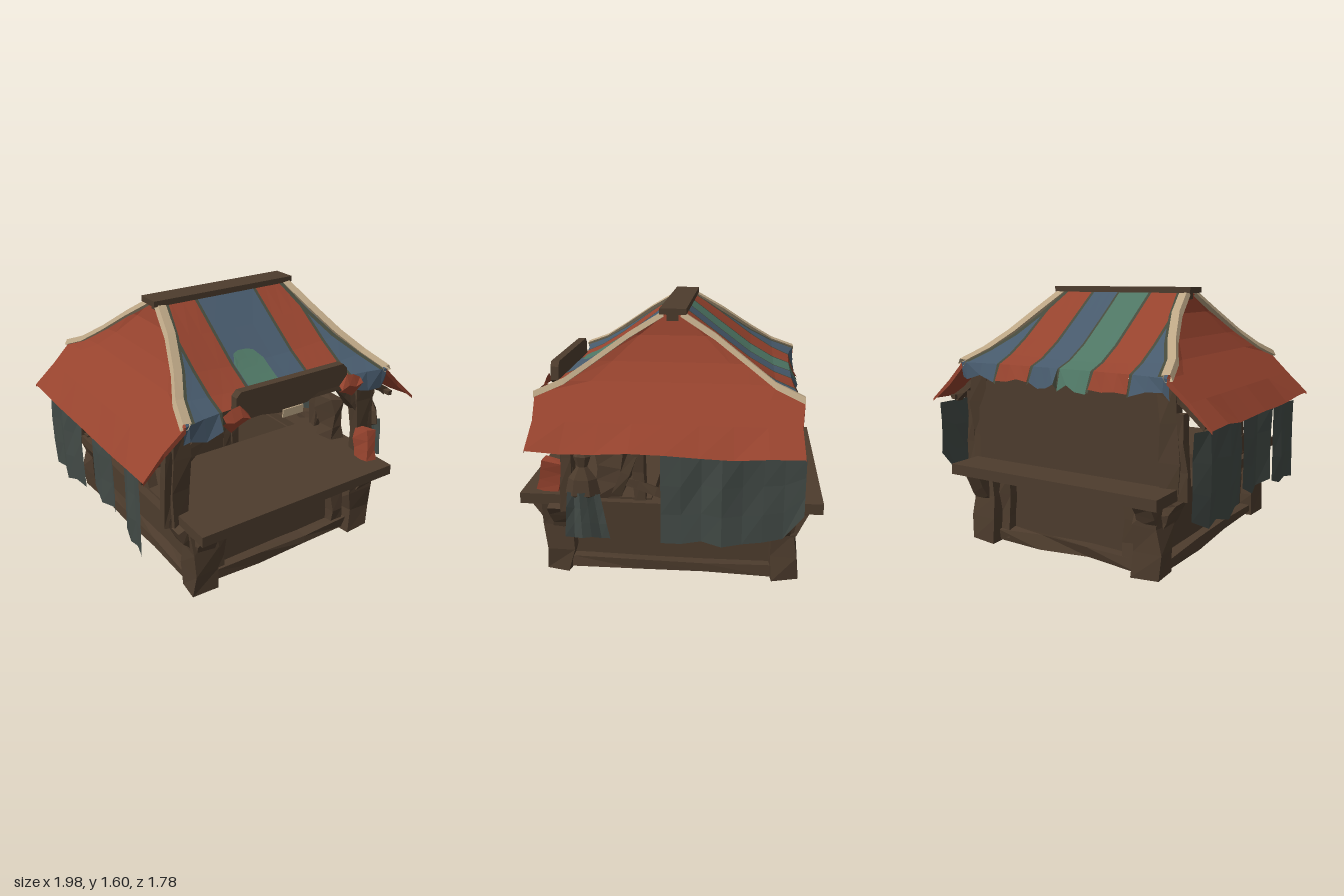
import * as THREE from 'three';

const mat = (name, color, double) => {
  const m = new THREE.MeshStandardMaterial({ color });
  m.name = name;
  if (double) m.side = THREE.DoubleSide;
  return m;
};

export function createModel() {
  const root = new THREE.Group();
  root.name = 'marketStall';
  const wood = mat('dark wood', 0x4d3c2d);
  const red = mat('red cloth', 0x96432e, true);
  const blue = mat('blue cloth', 0x475a6c, true);
  const green = mat('green cloth', 0x4e7664, true);
  const olive = mat('stripe edge', 0x464a3c, true);
  const cream = mat('cream trim', 0xbca685, true);
  const grey = mat('grey green curtain', 0x424a46, true);

  // repeatable noise in -0.5..0.5
  const noise = (a, b = 0, c = 0) => {
    const s = Math.sin(a * 127.1 + b * 311.7 + c * 74.7) * 43758.5453;
    return s - Math.floor(s) - 0.5;
  };

  // flat-shaded mesh
  const add = (name, g, m) => {
    const flat = g.index ? g.toNonIndexed() : g;
    flat.computeVertexNormals();
    const mesh = new THREE.Mesh(flat, m);
    mesh.name = name;
    root.add(mesh);
  };

  // roughly hewn timber from a to b
  const beam = (name, m, a, b, w, d, rough = 0.02) => {
    const A = new THREE.Vector3(...a), B = new THREE.Vector3(...b);
    const dir = B.clone().sub(A), len = dir.length();
    const g = new THREE.BoxGeometry(w, len, d, 1, 3, 1), p = g.attributes.position;
    const r = v => Math.round(v * 1000) / 1000;
    for (let i = 0; i < p.count; i++) {
      const x = r(p.getX(i)), y = r(p.getY(i)), z = r(p.getZ(i)), s = a[0] + 2 * a[1] + 3 * a[2];
      p.setXYZ(i, x + rough * noise(x + s, y, z), y + rough * 0.5 * noise(y, z, x + s), z + rough * noise(z, x, y + s));
    }
    g.applyQuaternion(new THREE.Quaternion().setFromUnitVectors(new THREE.Vector3(0, 1, 0), dir.normalize()));
    const c = A.add(B).multiplyScalar(0.5);
    g.translate(c.x, c.y, c.z);
    add(name, g, m);
  };
  const box = (name, size, pos, m = wood) => {
    const g = new THREE.BoxGeometry(...size);
    g.translate(...pos);
    add(name, g, m);
  };

  // grid surface from fn(column, row) -> [x, y, z]
  const sheet = (name, m, cols, rows, fn) => {
    const pos = [], idx = [];
    for (let j = 0; j <= rows; j++) for (let i = 0; i <= cols; i++) pos.push(...fn(i, j));
    for (let j = 0; j < rows; j++) for (let i = 0; i < cols; i++) {
      const a = j * (cols + 1) + i, b = a + cols + 1;
      idx.push(a, b, a + 1, a + 1, b, b + 1);
    }
    const g = new THREE.BufferGeometry();
    g.setAttribute('position', new THREE.Float32BufferAttribute(pos, 3));
    g.setIndex(idx);
    add(name, g, m);
  };

  // ---- base: corner posts, panels, rails ----
  for (const sx of [-1, 1]) for (const sz of [-1, 1]) {
    beam('basePost', wood, [sx * 0.6, 0.015, sz * 0.68], [sx * 0.6, 0.47, sz * 0.67], 0.17, 0.16, 0.04);
    beam('basePostInner', wood, [sx * 0.46, 0.04, sz * 0.65], [sx * 0.45, 0.46, sz * 0.65], 0.08, 0.09, 0.03);
    beam('bracketFront', wood, [sx * 0.6, 0.27, sz * 0.68], [sx * 0.61, 0.47, sz * 0.79], 0.12, 0.08);
    beam('bracketSide', wood, [sx * 0.63, 0.3, sz * 0.64], [sx * 0.72, 0.47, sz * 0.64], 0.07, 0.14);
  }
  for (const s of [-1, 1]) {
    box('basePanel', [1.1, 0.4, 0.03], [0, 0.26, s * 0.62]);
    box('baseSidePanel', [0.03, 0.42, 1.2], [s * 0.58, 0.26, 0]);
    beam('bottomRail', wood, [-0.52, 0.065, s * 0.67], [0.52, 0.065, s * 0.67], 0.07, 0.07, 0.025);
    beam('topRail', wood, [-0.52, 0.44, s * 0.67], [0.52, 0.44, s * 0.67], 0.06, 0.09);
    beam('sideBottomRail', wood, [s * 0.62, 0.065, -0.6], [s * 0.62, 0.065, 0.6], 0.08, 0.07, 0.025);
    box('sideCounter', [0.18, 0.06, 1.24], [s * 0.67, 0.49, 0]);
  }
  box('frontCounter', [1.42, 0.065, 0.79], [0, 0.5, 0.495]);
  box('backCounter', [1.45, 0.065, 0.35], [-0.015, 0.5, -0.72]);

  // ---- upper frame ----
  for (const sx of [-1, 1]) {
    for (const z of [-0.63, 0.59]) {
      beam('roofPost', wood, [sx * 0.7, 0.46, z], [sx * 0.67, 1.11, z], 0.11, 0.08, 0.03);
      beam('roofPostSupport', wood, [sx * 0.77, 0.46, z], [sx * 0.75, 0.95, z], 0.05, 0.06);
      beam('eaveBrace', wood, [sx * 0.67, 1.06, z], [sx * 0.9, 0.9, z], 0.045, 0.045);
      beam('kneeBrace', wood, [sx * 0.68, 0.82, z], [sx * 0.48, 1.05, z], 0.07, 0.05);
    }
    beam('eaveRail', wood, [sx * 0.89, 0.905, -0.68], [sx * 0.89, 0.905, 0.66], 0.03, 0.03, 0.01);
    beam('sideBeam', wood, [sx * 0.67, 1.07, -0.65], [sx * 0.67, 1.07, 0.64], 0.07, 0.08);
    beam('sidePost', wood, [sx * 0.69, 0.5, 0.17], [sx * 0.69, 1.08, 0.17], 0.06, 0.07);
    beam('sideBrace', wood, [sx * 0.7, 0.55, 0.3], [sx * 0.7, 0.95, 0.15], 0.05, 0.06);
    beam('sideBraceLow', wood, [sx * 0.7, 0.64, 0.28], [sx * 0.7, 0.54, -0.02], 0.05, 0.05);
  }
  beam('sideCrate', wood, [0.66, 0.52, 0.36], [0.66, 0.82, 0.34], 0.1, 0.16, 0.04);
  beam('frontBeam', wood, [-0.7, 1.07, 0.6], [0.7, 1.07, 0.6], 0.1, 0.07);
  box('backWall', [1.36, 0.6, 0.03], [0, 0.81, -0.65]);

  // ---- shelves and goods against the back wall ----
  for (const y of [0.55, 0.75, 0.99]) beam('shelf', wood, [-0.55, y, -0.55], [0.6, y, -0.55], 0.035, 0.18, 0.012);
  for (const x of [-0.52, -0.16, 0.18, 0.57]) beam('shelfUpright', wood, [x, 0.52, -0.53], [x, 1.02, -0.53], 0.05, 0.18, 0.015);
  for (const [x, y] of [[-0.34, 0.62], [0.37, 0.61], [-0.34, 0.83], [0.01, 0.84], [0.37, 0.83]])
    beam('crate', wood, [x - 0.12, y, -0.55], [x + 0.12, y, -0.55], 0.13, 0.15, 0.03);
  for (const x of [-0.06, 0.08]) {
    const g = new THREE.DodecahedronGeometry(0.08);
    g.translate(x, 0.64, -0.5);
    add('sack', g, wood);
  }

  // ---- roof: [z, y, half width] from ridge to eave, sagging in the middle ----
  const prof = [[0.05, 1.575, 0.46], [0.25, 1.455, 0.51], [0.45, 1.315, 0.59], [0.6, 1.215, 0.67], [0.76, 1.15, 0.72]];
  const sag = (x, z) => 0.045 * Math.sin(Math.PI * (z - 0.05) / 0.71) * Math.max(0, 1 - (x / 0.66) ** 2);
  const eaveZ = x => 0.76 - 0.055 * Math.max(0, 1 - (x / 0.72) ** 4);
  const roofY = (x, z) => {
    let i = 0;
    while (i < 3 && z > prof[i + 1][0]) i++;
    const [a, b] = [prof[i], prof[i + 1]];
    return a[1] + (b[1] - a[1]) * (z - a[0]) / (b[0] - a[0]) - sag(x, z);
  };
  const stripes = mid => [[-0.8, -0.485, blue], [-0.465, -0.225, red], ...mid, [0.225, 0.455, red], [0.475, 0.8, blue],
    [-0.485, -0.465, olive], [-0.225, -0.205, olive], [0.205, 0.225, olive], [0.455, 0.475, olive]];
  const slopes = { 1: stripes([[-0.205, 0.205, blue]]), [-1]: stripes([[-0.205, 0.01, green], [0.01, 0.025, olive], [0.025, 0.205, blue]]) };
  for (const s of [1, -1]) for (const [x0, x1, m] of slopes[s]) {
    const n = x1 - x0 > 0.1 ? 3 : 1;
    const at = (i, w) => Math.max(-w, Math.min(w, x0 + (x1 - x0) * i / n));
    sheet('roofStripe', m, n, 4, (i, j) => {
      const [z, y, w] = prof[j], x = at(i, w);
      return [x, y - sag(x, z), s * (j === 4 ? eaveZ(x) : z)];
    });
    // ragged valance, kept open behind the front sign
    if (s > 0 && Math.abs(x0 + x1) < 0.9) continue;
    const drop = m === blue || m === olive ? 1.05 : m === red ? 1.07 : 1.04;
    sheet('valance', m, n, 1, (i, j) => {
      const x = at(i, 0.73);
      return [x, j ? drop + 0.06 * noise(Math.round(x * 20), s) : 1.15, s * (j ? 0.755 + 0.03 * noise(x * 30, 2) : eaveZ(x))];
    });
  }
  sheet('roofPatch', green, 6, 5, (i, j) => {
    const e = 0.07 * Math.pow(i / 3 - 1, 4), z = 0.38 + e + (0.27 - 1.4 * e) * j / 5, x = -0.21 + 0.21 * i / 6;
    return [x, roofY(x, z) + 0.012, z + 0.004];
  });
  // red cloth corners gathered beside the sign
  for (const s of [-1, 1]) sheet('foldedCorner', red, 3, 2, (i, j) => [s * (0.33 + 0.055 * i),
    [1.13, 1.19, 1.18, 1.15][i] - j * [0.02, 0.06, 0.07, 0.025][i], 0.765 + (j === 1 ? 0.03 : 0)]);

  // side roofs flare out to a ragged flap
  const sideRows = [...prof, [0.745, 1.03, 0.85], [0.76, 0.9, 0.985]];
  for (const s of [-1, 1]) {
    sheet('sideRoof', red, 8, 6, (i, j) => {
      const [z, y, w] = sideRows[j], inner = i > 0 && i < 8, jag = noise(i, s, j);
      const dip = inner && j > 0 && j < 4 ? 0.02 : 0, k = j === 6 && inner ? 0.05 : 0;
      return [s * (w - dip + k * jag * 0.5), y + k * jag - (k ? 0.005 : 0), z * (1 - i / 4)];
    });
    // cream edging: a flat tube along each hip, with a dark seam beside it
    const ring = [[-0.034, 0.016], [0.018, 0.022], [0.036, -0.012], [-0.012, -0.02], [-0.034, 0.016]];
    for (const f of [-1, 1]) {
      sheet('roofTrim', cream, 4, 4, (i, j) => {
        const [z, y, w] = prof[j], [dx, dy] = ring[i];
        return [s * (w + dx), y + dy, f * (z + 0.004 * noise(i % 4, j, f))];
      });
      sheet('trimSeam', olive, 1, 4, (i, j) => {
        const [z, y, w] = prof[j], x = w - 0.025 - 0.03 * i;
        return [s * x, y - sag(x, z) + 0.007, f * z];
      });
      // folded hem at the ends of the flap
      sheet('flapHem', red, 2, 1, (i, j) => {
        const [z, y, w] = sideRows[4 + i];
        return [s * w, y - 0.035 * j * (i < 2 ? 1 : 0.5), f * z];
      });
    }
  }
  box('ridgeBeam', [1.01, 0.035, 0.155], [-0.005, 1.592, -0.005]);
  box('ridgeCore', [0.94, 0.05, 0.07], [0, 1.555, 0]);

  // ---- front sign board ----
  const extrude = (name, pts, depth, z) => {
    const g = new THREE.ExtrudeGeometry(new THREE.Shape(pts.map(p => new THREE.Vector2(...p))), { depth, bevelEnabled: false });
    g.translate(0, 0, z);
    add(name, g, wood);
  };
  extrude('signBoard', [[-0.4, 1.15], [-0.37, 1.125], [0.36, 1.125], [0.4, 1.15], [0.39, 1.23], [0.36, 1.26], [-0.37, 1.26], [-0.4, 1.23]], 0.05, 0.705);
  extrude('signSupport', [[-0.36, 1.13], [-0.2, 1.04], [-0.02, 1.01], [0.18, 1.03], [0.38, 1.13]], 0.03, 0.635);
  box('hangingTag', [0.15, 0.05, 0.009], [0.06, 1.005, 0.675], cream);

  // ---- curtains: x, z start, z end, top, list of bottom heights ----
  const curtain = (x, z0, z1, top, bottoms) => {
    const n = bottoms.length - 1;
    sheet('curtain', grey, n, 3, (i, j) => [x + 0.07 * noise(i, z0, x) + 0.015 * noise(i, j, z0),
      top + (bottoms[i] - top) * j / 3, z0 + (z1 - z0) * i / n]);
  };
  curtain(0.935, 0.02, -0.77, 0.88, [0.36, 0.36, 0.38, 0.36, 0.37, 0.38, 0.4, 0.55]);
  curtain(-0.915, -0.76, -0.2, 0.88, [0.4, 0.34, 0.36, 0.33, 0.37, 0.36]);
  curtain(-0.915, -0.1, 0.26, 0.88, [0.42, 0.36, 0.38, 0.4]);
  curtain(-0.91, 0.36, 0.62, 0.86, [0.36, 0.33, 0.35, 0.34]);

  // sack hung from the eave with a cloth below it
  const hung = new THREE.LatheGeometry([[0.001, 0.58], [0.1, 0.63], [0.08, 0.72], [0.03, 0.79], [0.05, 0.85], [0.001, 0.9]]
    .map(p => new THREE.Vector2(...p)), 6);
  hung.scale(0.6, 1, 1).translate(0.9, 0, 0.46);
  add('hangingSack', hung, wood);
  sheet('hangingCloth', grey, 5, 3, (i, j) => [0.945 + 0.05 * noise(i, 3) + 0.01 * noise(i, j), 0.65 - 0.09 * j + 0.03 * noise(i, 5),
    0.45 + (0.09 + 0.012 * j) * (1 - i / 2.5) - 0.005 * j]);

  // red box on the counter
  beam('redBox', red, [0.63, 0.53, 0.735], [0.65, 0.725, 0.69], 0.07, 0.125, 0.015);
  return root;
}
